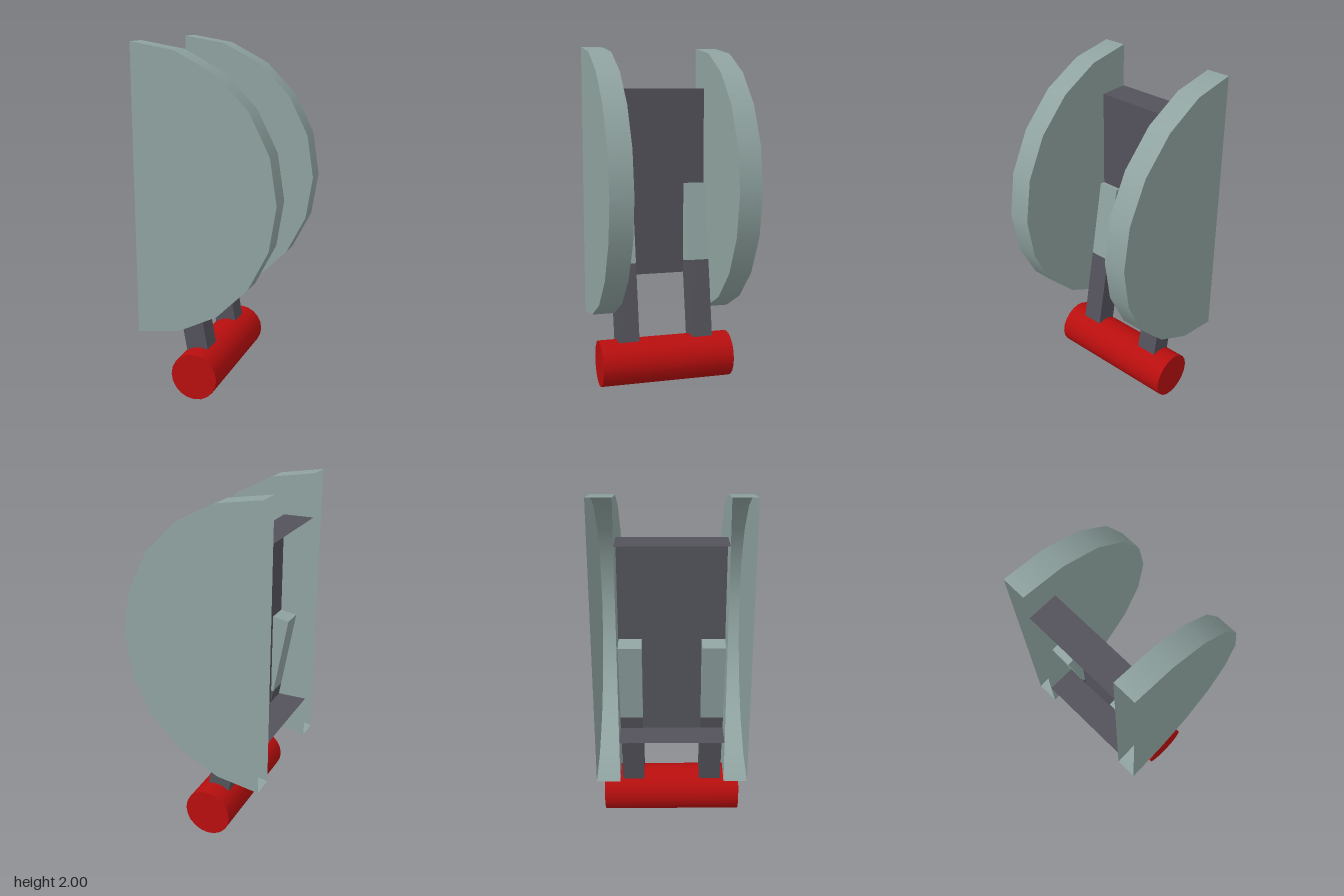
import * as THREE from 'three';

export function createModel() {
  const model = new THREE.Group();
  const material = (name, color) => {
    const m = new THREE.MeshStandardMaterial({ color, side: THREE.DoubleSide });
    m.name = name;
    return m;
  };
  const shellGrey = material('greyGreen', 0x8fa3a0);
  const darkGrey = material('darkGrey', 0x53525b);
  const red = material('red', 0xb80e0e);

  const add = (name, geometry, mat, x, y, z, parent = model) => {
    const mesh = new THREE.Mesh(geometry, mat);
    mesh.name = name;
    mesh.position.set(x, y, z);
    parent.add(mesh);
    return mesh;
  };

  // Half-round side shells, open along the straight edge
  const shell = new THREE.CylinderGeometry(0.81, 0.81, 0.133, 10, 1, false, 0, Math.PI).rotateX(Math.PI / 2);
  for (const s of [1, -1]) {
    add(s > 0 ? 'frontShell' : 'backShell', shell, shellGrey, -0.405, 1.19, s * 0.3585);
  }

  // Channel between the shells: wall, top and bottom, open at the rear
  const channel = new THREE.Group();
  channel.name = 'channel';
  model.add(channel);
  const wall = new THREE.PlaneGeometry(0.584, 1.125).rotateY(Math.PI / 2);
  const lid = new THREE.PlaneGeometry(0.173, 0.584).rotateX(-Math.PI / 2);
  add('channelWall', wall, darkGrey, -0.232, 1.1925, 0, channel);
  add('channelTop', lid, darkGrey, -0.3185, 1.755, 0, channel);
  add('channelBottom', lid.clone().rotateX(Math.PI), darkGrey, -0.3185, 0.63, 0, channel);

  // Tilted arms rising from the roller axis, dark below and light above
  const armLength = 1.057, split = 0.587;
  for (const s of [1, -1]) {
    const arm = new THREE.Group();
    arm.name = s > 0 ? 'frontArm' : 'backArm';
    arm.position.set(-0.08, 0.137, s * 0.227);
    arm.rotation.z = THREE.MathUtils.degToRad(10);
    model.add(arm);
    add('lowerArm', new THREE.BoxGeometry(0.13, split, 0.127), darkGrey, 0, split / 2, 0, arm);
    const upper = armLength - split;
    add('upperArm', new THREE.BoxGeometry(0.13, upper, 0.127), shellGrey, 0, split + upper / 2, 0, arm);
  }

  // Roller at the foot
  const roller = new THREE.CylinderGeometry(0.137, 0.137, 0.8, 20).rotateX(Math.PI / 2);
  add('roller', roller, red, -0.08, 0.137, 0);

  return model;
}
